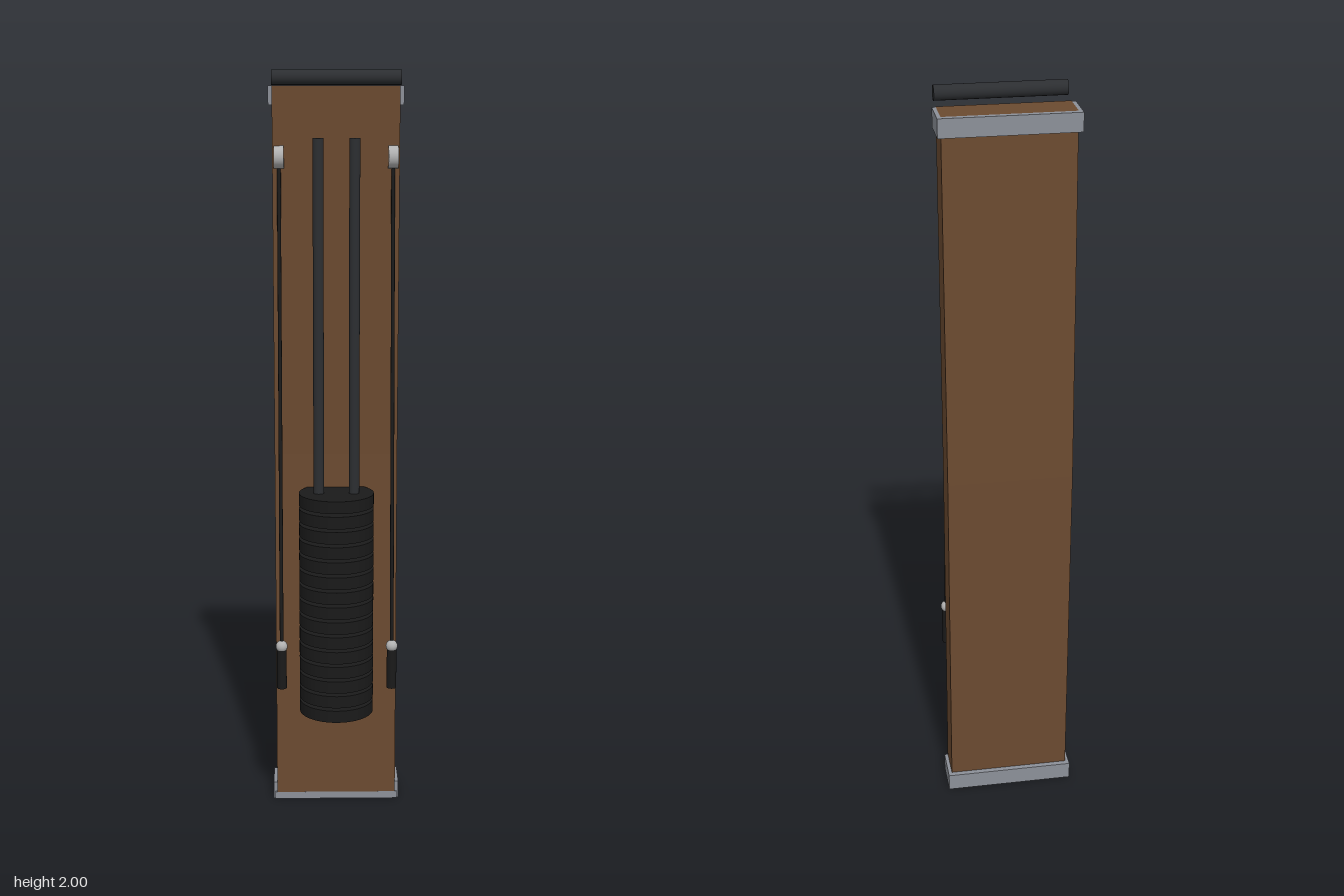
import * as THREE from 'three';

const material = (color) => new THREE.MeshStandardMaterial({ color });

export function createModel() {
  const model = new THREE.Group();
  model.name = 'cableWeightMachine';
  const wood = material(0x6b4a30);
  const steel = material(0x8c9098);
  const chrome = material(0xb0b0b0);
  const iron = material(0x1a1a1a);
  const darkSteel = material(0x2c2e31);

  const add = (name, geometry, mat, x = 0, y = 0, z = 0) => {
    const mesh = new THREE.Mesh(geometry, mat);
    mesh.name = name;
    mesh.position.set(x, y, z);
    model.add(mesh);
    return mesh;
  };

  // Wooden back board, bowed slightly backwards at mid height: (-z, y) side profile
  const profile = new THREE.Shape([
    [0.02, 0.018], [0.11, 0.018], [0.129, 0.99], [0.11, 1.96], [0.02, 1.96], [0.039, 0.99],
  ].map(([z, y]) => new THREE.Vector2(z, y)));
  const board = new THREE.ExtrudeGeometry(profile, { depth: 0.33, bevelEnabled: false });
  board.translate(0, 0, -0.165).rotateY(Math.PI / 2);
  add('backBoard', board, wood);

  // U-shaped steel brackets wrapping the sides and back at both ends
  for (const [end, y] of [['lower', 0.024], ['upper', 1.936]]) {
    add(end + 'BracketBack', new THREE.BoxGeometry(0.35, 0.048, 0.015), steel, 0, y, -0.1175);
    for (const s of [-1, 1]) {
      add(end + 'BracketSide', new THREE.BoxGeometry(0.01, 0.048, 0.1), steel, s * 0.17, y, -0.075);
    }
  }
  add('footPlate', new THREE.BoxGeometry(0.34, 0.02, 0.1), steel, 0, 0.01, -0.07);

  // Crossbar at the top
  const bar = new THREE.CylinderGeometry(0.019, 0.019, 0.33, 24).rotateZ(Math.PI / 2);
  add('topBar', bar, darkSteel, 0, 1.981, 0.027);

  // Stack of round weight plates
  const plate = new THREE.CylinderGeometry(0.1, 0.1, 0.033, 48);
  for (let i = 0; i < 15; i++) {
    add('weightPlate', plate, iron, 0, 0.302 + i * 0.0415, 0.027);
  }

  for (const s of [-1, 1]) {
    const x = s * 0.148;
    // Guide rod through the stack
    add('guideRod', new THREE.CylinderGeometry(0.014, 0.014, 1.57, 20), darkSteel, s * 0.047, 1.045, 0.03);

    // Pulley wheel set into the board
    const wheel = new THREE.CylinderGeometry(0.029, 0.029, 0.026, 28).rotateZ(Math.PI / 2);
    add('pulley', wheel, chrome, x, 1.78, -0.025);

    // Cable running from the pulley down to the handle
    const run = new THREE.LineCurve3(new THREE.Vector3(x, 1.77, -0.026), new THREE.Vector3(x, 0.49, 0.083));
    add('cable', new THREE.TubeGeometry(run, 1, 0.005, 10), iron);

    // Stop ball and grip
    add('cableBall', new THREE.SphereGeometry(0.016, 20, 14), chrome, x, 0.488, 0.083);
    add('handleGrip', new THREE.CylinderGeometry(0.013, 0.013, 0.11, 20), iron, x, 0.425, 0.083);
  }

  return model;
}
